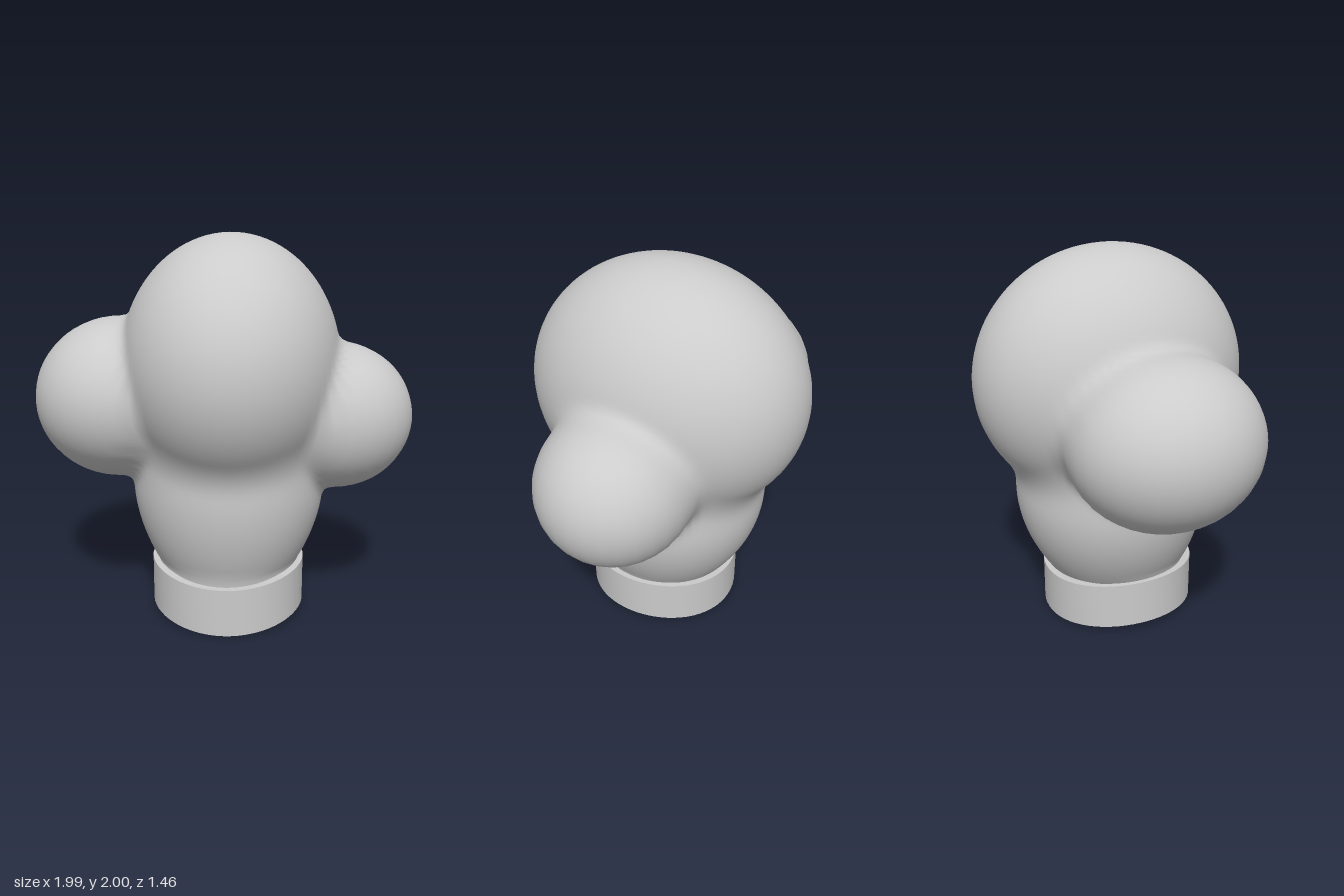
import * as THREE from 'three';
import { mergeVertices, toCreasedNormals } from 'three/addons/utils/BufferGeometryUtils.js';

const material = new THREE.MeshStandardMaterial({ color: 0xcccccc, side: THREE.DoubleSide });

// Distance-like field of an ellipsoid, negative inside
function ellipsoid(p, c, r) {
  const d = Math.hypot((p.x - c[0]) / r[0], (p.y - c[1]) / r[1], (p.z - c[2]) / r[2]);
  return (d - 1) * Math.min(...r);
}

// Flaring oval neck that rises out of the band and ends inside the crown
function neck(p) {
  const t = THREE.MathUtils.clamp((p.y - 0.27) / 0.45, 0, 1);
  const s = 1 - (1 - t) ** 2;
  const rx = 0.37 + 0.14 * s, rz = 0.39 + 0.13 * s;
  const side = (Math.hypot((p.x - 0.03) / rx, (p.z - 0.03 * (1 - s)) / rz) - 1) * rx;
  return Math.max(side, p.y - 1.1);
}

// Union with a soft fillet of size k
function blend(a, b, k) {
  const h = Math.max(k - Math.abs(a - b), 0) / k;
  return Math.min(a, b) - h * h * k * 0.25;
}

function puffField(p) {
  let d = blend(ellipsoid(p, [0.04, 1.33, 0], [0.57, 0.67, 0.73]), neck(p), 0.07);
  d = blend(d, ellipsoid(p, [-0.55, 1.145, -0.03], [0.45, 0.425, 0.49]), 0.06);
  return blend(d, ellipsoid(p, [0.58, 1.065, 0.0], [0.41, 0.385, 0.39]), 0.06);
}

// Puffy cloth: a sphere, open below, pushed out to the blended lobes
function puffGeometry() {
  const base = new THREE.SphereGeometry(1, 80, 64, 0, Math.PI * 2, 0, Math.PI - 0.41);
  base.deleteAttribute('uv');
  base.deleteAttribute('normal');
  const geometry = mergeVertices(base, 1e-4);
  const pos = geometry.attributes.position;
  const centre = new THREE.Vector3(0.03, 1.1, 0);
  const dir = new THREE.Vector3(), p = new THREE.Vector3();
  for (let i = 0; i < pos.count; i++) {
    dir.fromBufferAttribute(pos, i).normalize();
    // the rim stops inside the band
    let lo = 0, hi = dir.y < 0 ? Math.min(1.4, 0.98 / -dir.y) : 1.4;
    for (let n = 0; n < 24; n++) {
      const mid = (lo + hi) / 2;
      p.copy(centre).addScaledVector(dir, mid);
      if (puffField(p) < 0) lo = mid; else hi = mid;
    }
    p.copy(centre).addScaledVector(dir, lo);
    pos.setXYZ(i, p.x, p.y, p.z);
  }
  geometry.computeVertexNormals();
  return geometry;
}

// Thin band whose edges dip at front and back and rise at the sides
function bandGeometry() {
  const profile = [[0.385, 0], [0.41, 0], [0.41, 0.25], [0.365, 0.25], [0.385, 0]]
    .map(([x, y]) => new THREE.Vector2(x, y));
  const geometry = new THREE.LatheGeometry(profile, 64);
  const pos = geometry.attributes.position;
  for (let i = 0; i < pos.count; i++) {
    const x = pos.getX(i), z = pos.getZ(i);
    pos.setY(i, pos.getY(i) + 0.038 * x * x / (x * x + z * z));
    pos.setZ(i, z * 1.025);
  }
  return toCreasedNormals(geometry, 0.7);
}

export function createModel() {
  const group = new THREE.Group();
  group.name = 'puffyHat';

  const puff = new THREE.Mesh(puffGeometry(), material);
  puff.name = 'puff';

  const band = new THREE.Mesh(bandGeometry(), material);
  band.name = 'band';
  band.position.set(0.03, 0, 0.04);

  group.add(puff, band);
  return group;
}
